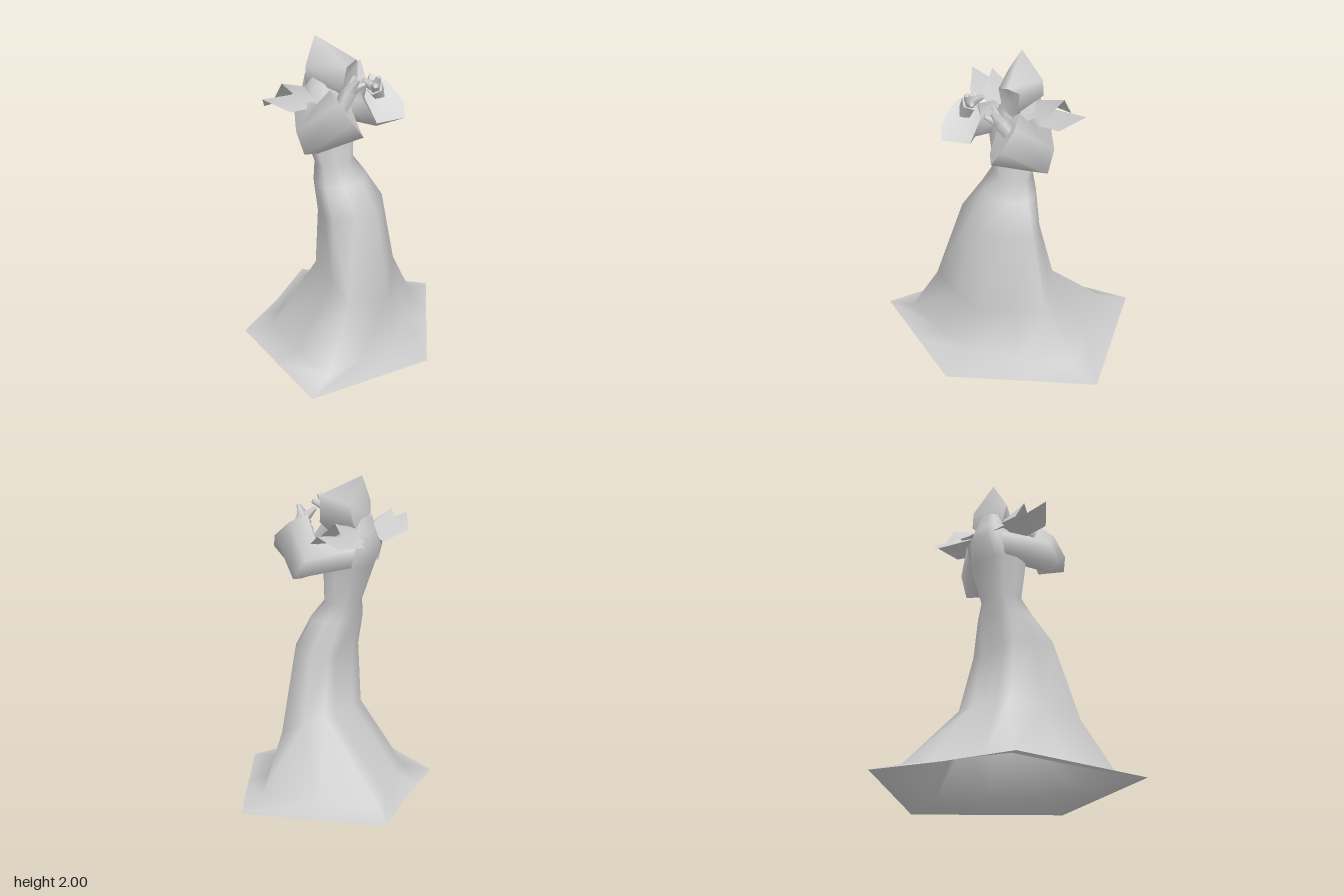
import * as THREE from 'three';

const AXIS = -0.06; // the upper body is mirrored about this x
const mat = new THREE.MeshStandardMaterial({ color: 0xcccccc, side: THREE.DoubleSide });

// Smooth mesh from [x, y, z] points and triangle indices
function skin(name, points, idx) {
  const g = new THREE.BufferGeometry();
  g.setAttribute('position', new THREE.Float32BufferAttribute(points.flat(), 3));
  g.setIndex(idx);
  g.computeVertexNormals();
  const mesh = new THREE.Mesh(g, mat);
  mesh.name = name;
  return mesh;
}

// Skin between closed loops, with optional fans closing the ends
function loft(name, rings, startCentre, endCentre) {
  const points = rings.flat(), idx = [], n = rings[0].length;
  for (let j = 0; j < rings.length - 1; j++) {
    for (let i = 0; i < n; i++) {
      const a = j * n + i, b = j * n + (i + 1) % n;
      idx.push(a, b, b + n, a, b + n, a + n);
    }
  }
  const fan = (ring, centre, flip) => {
    const s = points.length;
    points.push(centre, ...ring);
    for (let i = 0; i < n; i++) {
      const a = s + 1 + i, b = s + 1 + (i + 1) % n;
      if (flip) idx.push(s, b, a); else idx.push(s, a, b);
    }
  };
  if (startCentre) fan(rings[0], startCentre, true);
  if (endCentre) fan(rings[rings.length - 1], endCentre, false);
  return skin(name, points, idx);
}

// Six corners become twelve; the midpoints are pushed out by the bulge factor
function rounded(corners, bulge) {
  const c = [0, 1, 2].map(k => corners.reduce((s, p) => s + p[k], 0) / corners.length);
  return corners.flatMap((p, i) => {
    const q = corners[(i + 1) % corners.length];
    const m = [0, 1, 2].map(k => (p[k] + q[k]) / 2);
    return [p, [c[0] + (m[0] - c[0]) * bulge, m[1], c[2] + (m[2] - c[2]) * bulge]];
  });
}

// Six-cornered section of the upper body
function torso(y, x0, x1, zBack, zFront) {
  const cx = (x0 + x1) / 2, w = (x1 - x0) / 2, cz = (zBack + zFront) / 2, d = (zFront - zBack) / 2;
  return rounded([
    [x0, y, cz + d * 0.2], [cx, y, zFront], [x1, y, cz + d * 0.2],
    [cx + w * 0.65, y, cz - d * 0.8], [cx, y, zBack], [cx - w * 0.65, y, cz - d * 0.8],
  ], 1.13);
}

// Tapered limb between two points
function taper(name, from, to, r0, r1) {
  const a = new THREE.Vector3(...from), b = new THREE.Vector3(...to), d = b.clone().sub(a);
  const mesh = new THREE.Mesh(new THREE.CylinderGeometry(r1, r0, d.length(), 5), mat);
  mesh.position.copy(a).add(b).multiplyScalar(0.5);
  mesh.quaternion.setFromUnitVectors(new THREE.Vector3(0, 1, 0), d.normalize());
  mesh.name = name;
  return mesh;
}

// Thin leaf folded along the ridge: back root, back edge, tip, front edge, front root, ridge root
const leaf = (name, pts) => skin(name, pts, [0, 5, 1, 1, 5, 2, 5, 3, 2, 5, 4, 3]);

export function createModel() {
  const model = new THREE.Group();
  model.name = 'robedFigure';

  // Robe, open below: five-sided hem, long skirt, narrow waist, leaning chest and neck
  const robe = [
    rounded([[-0.79, 0.015, 0.42], [0.01, 0, 0.69], [0.79, 0.015, 0.12],
      [0.4, 0.015, -0.69], [-0.03, 0.015, -0.54], [-0.47, 0.015, -0.43]], 1),
    rounded([[-0.6, 0.065, 0.39], [0, 0.05, 0.45], [0.59, 0.065, 0.12],
      [0.28, 0.065, -0.54], [-0.03, 0.065, -0.42], [-0.34, 0.065, -0.3]], 1),
    rounded([[-0.37, 0.46, 0.36], [0, 0.36, 0.39], [0.37, 0.41, 0.14],
      [0.23, 0.52, -0.09], [0.03, 0.52, -0.09], [-0.16, 0.52, -0.08]], 1),
    rounded([[-0.3, 0.94, 0.18], [-0.03, 0.91, 0.31], [0.25, 0.91, 0.13],
      [0.15, 0.87, -0.05], [-0.01, 0.88, -0.06], [-0.17, 0.9, -0.05]], 1.05),
    torso(1.1, -0.23, 0.15, -0.12, 0.19),
    torso(1.21, -0.185, 0.09, -0.125, 0.1),
    torso(1.45, -0.25, 0.14, -0.2, 0.1),
    torso(1.58, -0.22, 0.1, -0.255, 0.06),
    torso(1.67, -0.18, 0.07, -0.22, 0.01),
    torso(1.76, -0.15, 0.04, -0.205, -0.03),
  ];
  model.add(loft('robe', robe, null, [AXIS, 1.78, -0.12]));

  // Hood with a recessed face, turned a little to one side
  model.add(loft('hood', [
    [[0.02, 1.87, 0.1], [0.08, 1.84, 0.06], [0.07, 1.71, 0.07],
      [0, 1.62, 0.02], [-0.06, 1.69, 0.06], [-0.06, 1.84, 0.09]],
    [[-0.08, 2, -0.14], [0.07, 1.84, -0.16], [0.06, 1.72, -0.18],
      [-0.04, 1.63, -0.17], [-0.16, 1.7, -0.15], [-0.18, 1.83, -0.13]],
  ], [0, 1.75, 0.04], [-0.05, 1.78, -0.21]));

  for (const side of [1, -1]) {
    const m = (p, lift = 0) => [AXIS + side * (p[0] - AXIS), p[1] + lift, p[2]];
    const arm = new THREE.Group();
    arm.name = side > 0 ? 'leftArm' : 'rightArm';
    model.add(arm);

    // Bulky bell sleeve: shoulder, elbow, drooping cuff
    const sleeve = [
      [[0.03, 1.65, -0.14], [-0.01, 1.6, -0.03], [-0.01, 1.49, 0],
        [0.04, 1.45, -0.09], [0.08, 1.46, -0.18], [0.08, 1.58, -0.21]],
      [[0.19, 1.6, 0], [0.13, 1.57, 0.06], [0.12, 1.44, 0.11],
        [0.22, 1.38, 0.1], [0.32, 1.4, 0.08], [0.3, 1.52, 0]],
      [[0.13, 1.76, 0.12], [0.01, 1.65, 0.17], [0.02, 1.5, 0.26],
        [0.14, 1.53, 0.38], [0.18, 1.61, 0.34], [0.18, 1.71, 0.22]],
    ].map(r => r.map(p => m(p)));
    arm.add(loft('sleeve', sleeve, null, m([0.1, 1.62, 0.24])));

    // Hand raised towards the face, one slightly higher than the other
    const lift = side > 0 ? 0 : 0.04;
    const palm = m([0.06, 1.71, 0.21], lift);
    arm.add(taper('hand', m([0.13, 1.63, 0.19]), palm, 0.045, 0.055));
    for (const tip of [[-0.02, 1.77, 0.18], [-0.01, 1.75, 0.27], [0.04, 1.79, 0.26]]) {
      arm.add(taper('finger', palm, m(tip, lift), 0.04, 0.015));
    }

    // Two overlapping pointed shoulder leaves, each folded along its middle
    arm.add(leaf('upperShoulderLeaf', [[0.04, 1.62, -0.25], [0.22, 1.63, -0.25],
      [0.23, 1.76, -0.17], [0.19, 1.66, -0.04], [0.04, 1.63, -0.04], [0.04, 1.69, -0.16]].map(p => m(p))));
    arm.add(leaf('lowerShoulderLeaf', [[0.04, 1.59, -0.25], [0.3, 1.62, -0.25],
      [0.4, 1.71, -0.17], [0.3, 1.63, -0.04], [0.04, 1.59, -0.04], [0.04, 1.65, -0.16]].map(p => m(p))));
  }
  return model;
}
